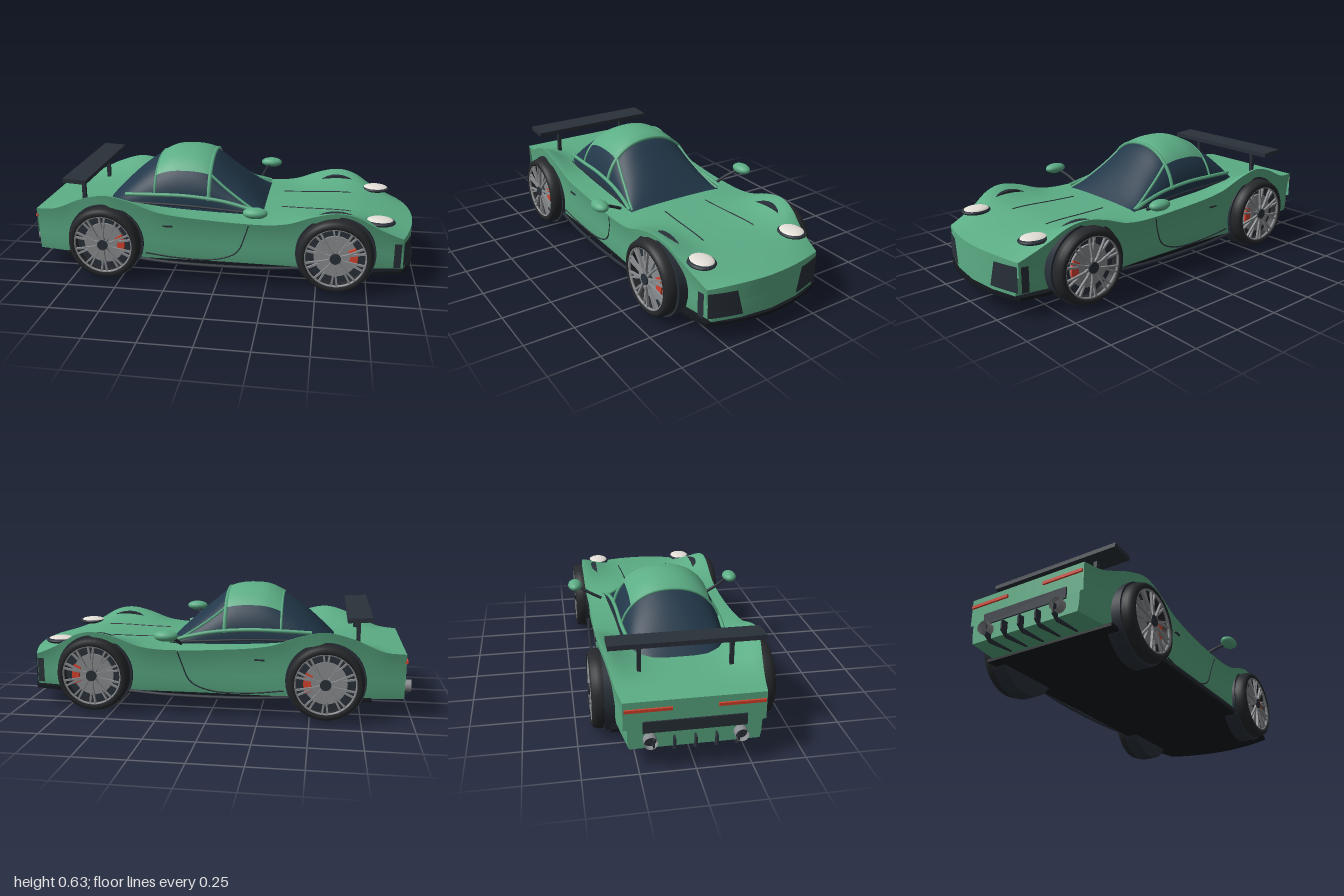
import * as THREE from 'three';
import { toCreasedNormals } from 'three/addons/utils/BufferGeometryUtils.js';

const mat = (color, side = THREE.FrontSide) =>
  new THREE.MeshStandardMaterial({ color, side });
const paint = mat(0x5cae86), glass = mat(0x22384a), dark = mat(0x2a313a), rubber = mat(0x26282b);
const floorMat = mat(0x14181d), metal = mat(0x8a8d90), red = mat(0xd8432f), lamp = mat(0xe4e0d8);
const darkThin = mat(0x2a313a, THREE.DoubleSide);

// Smooth interpolation through rows of [x, value]
function curve(rows) {
  const slope = i => {
    const a = rows[Math.max(i - 1, 0)], b = rows[Math.min(i + 1, rows.length - 1)];
    return (b[1] - a[1]) / (b[0] - a[0]);
  };
  return x => {
    let i = 0;
    while (i < rows.length - 2 && x > rows[i + 1][0]) i++;
    const [x0, y0] = rows[i], [x1, y1] = rows[i + 1], d = x1 - x0;
    const t = Math.min(Math.max((x - x0) / d, 0), 1), t2 = t * t, t3 = t2 * t;
    return y0 * (2 * t3 - 3 * t2 + 1) + slope(i) * d * (t3 - 2 * t2 + t)
      + y1 * (3 * t2 - 2 * t3) + slope(i + 1) * d * (t3 - t2);
  };
}

// Surface from a rule fn(i, j) -> [x, y, z]
function grid(nu, nv, fn, crease = 0.7) {
  const pos = [], idx = [];
  for (let i = 0; i <= nu; i++) for (let j = 0; j <= nv; j++) {
    pos.push(...fn(i, j));
    if (i < nu && j < nv) {
      const a = i * (nv + 1) + j, b = a + nv + 1;
      idx.push(a, b, a + 1, b, b + 1, a + 1);
    }
  }
  const g = new THREE.BufferGeometry();
  g.setAttribute('position', new THREE.Float32BufferAttribute(pos, 3));
  g.setIndex(idx);
  return toCreasedNormals(g, crease);
}

function add(parent, name, geo, material, x = 0, y = 0, z = 0) {
  const m = new THREE.Mesh(geo, material);
  m.name = name;
  m.position.set(x, y, z);
  parent.add(m);
  return m;
}
const box = (x, y, z) => new THREE.BoxGeometry(x, y, z);
const tube = (pts, r, n = 24) => new THREE.TubeGeometry(
  new THREE.CatmullRomCurve3(pts.map(p => new THREE.Vector3(...p))), n, r, 6);
const disc = (r, h, n = 40) => new THREE.CylinderGeometry(r, r, h, n).rotateX(Math.PI / 2);

// Body rules along x: half width, fender crest height, centre height
const halfWidth = curve([[-0.96, 0.315], [-0.75, 0.35], [-0.57, 0.38], [-0.4, 0.38], [0, 0.372], [0.4, 0.377],
  [0.58, 0.378], [0.72, 0.36], [0.85, 0.337], [0.98, 0.318]]);
const crest = curve([[-0.96, 0.325], [-0.85, 0.338], [-0.7, 0.403], [-0.57, 0.435], [-0.45, 0.412], [-0.3, 0.36],
  [-0.1, 0.335], [0.2, 0.322], [0.35, 0.335], [0.48, 0.38], [0.59, 0.402], [0.7, 0.383], [0.82, 0.33], [0.98, 0.265]]);
const centre = curve([[-0.96, 0.325], [-0.6, 0.342], [0, 0.335], [0.4, 0.335], [0.65, 0.335], [0.82, 0.312], [0.98, 0.276]]);
const bottom = 0.095;
const bow = (x, z) => x - 0.06 * THREE.MathUtils.smoothstep(x, 0.6, 0.98) * (z / 0.31) ** 2;
// Half section, bottom centre to top centre: [z share, height base, share]
const lower = [[0, 0], [0.5, 0], [0.92, 0], [0.94, 0.15], [0.945, 0.4], [0.96, 0.7], [0.985, 0.9], [1, 1]];
const upper = [[0.96, 0.97], [0.88, 0.8], [0.78, 0.56], [0.66, 0.3], [0.52, 0.11], [0.35, 0.02], [0.17, 0], [0, 0]];
function deckY(x, s) {
  const i = Math.max(upper.findIndex(p => p[0] <= s), 1), [a, fa] = upper[i - 1], [b, fb] = upper[i];
  const f = fa + (fb - fa) * (a - s) / (a - b);
  return centre(x) + (crest(x) - centre(x)) * f;
}
function section(x) {
  const w = halfWidth(x), half = [
    ...lower.map(([s, f]) => [s * w, bottom + (crest(x) - bottom) * f]),
    ...upper.map(([s]) => [s * w, deckY(x, s)])];
  return [...half, ...half.slice(0, -1).reverse().map(([z, y]) => [-z, y])];
}

function buildBody(g) {
  const n = 80, count = section(0).length - 1;
  // First and last rings close the tail and nose
  add(g, 'body', grid(n + 2, count, (i, j) => {
    const x = -0.96 + 1.94 * Math.min(Math.max((i - 1) / n, 0), 1);
    const [z, y] = section(x)[j];
    return [bow(x, z), i === 0 || i === n + 2 ? 0.19 : y, z];
  }), paint);

  // Floor with curved front splitter
  const s = new THREE.Shape();
  s.moveTo(-0.8, -0.35); s.lineTo(0.8, -0.35); s.lineTo(0.92, -0.325);
  s.quadraticCurveTo(1.07, 0, 0.92, 0.325); s.lineTo(0.8, 0.35); s.lineTo(-0.8, 0.35);
  add(g, 'floor', new THREE.ExtrudeGeometry(s, { depth: 0.016, bevelEnabled: false, curveSegments: 24 })
    .rotateX(Math.PI / 2), floorMat, 0, 0.1, 0);
}

// Cabin rule: arch section at x, angle a from left sill over to right sill
const cabinH = curve([[-0.62, 0.003], [-0.55, 0.075], [-0.45, 0.165], [-0.34, 0.24], [-0.27, 0.272], [-0.2, 0.28],
  [-0.12, 0.275], [-0.06, 0.255], [0.02, 0.19], [0.12, 0.105], [0.22, 0.012]]);
const cabinW = curve([[-0.62, 0.13], [-0.57, 0.2], [-0.48, 0.24], [-0.3, 0.25], [0, 0.255], [0.22, 0.27]]);
function cabin(x, a, off = 0) {
  const c = Math.cos(a), s = Math.max(Math.sin(a), 0);
  return [x, 0.333 + (cabinH(x) + off) * s ** 0.92, (cabinW(x) + off) * Math.sign(c) * Math.abs(c) ** 0.92];
}
const cabinPatch = (x0, x1, a0, a1, off) => grid(36, 32, (i, j) =>
  cabin(x0 + (x1 - x0) * i / 36, a0 + (a1 - a0) * j / 32, off), 1);

function buildCabin(g) {
  add(g, 'windows', cabinPatch(-0.62, 0.22, 0, Math.PI, 0), glass);
  const roofA = 0.72;
  add(g, 'roof', cabinPatch(-0.345, -0.06, roofA, Math.PI - roofA, 0.006), paint);
  const hoop = (x, a0) => Array.from({ length: 17 }, (_, k) => cabin(x, a0 + (Math.PI - 2 * a0) * k / 16, 0.003));
  add(g, 'windscreenHoop', tube(hoop(-0.06, 0.2), 0.01, 48), paint);
  add(g, 'rearHoop', tube(hoop(-0.345, 0.25), 0.006, 48), paint);
  for (const s of [1, -1]) {
    // Sill rail, windscreen edge and lower seal
    add(g, 'sillRail', tube([[-0.5, 0.4, 0.235 * s], [-0.35, 0.408, 0.247 * s], [-0.18, 0.41, 0.25 * s],
      [0, 0.395, 0.256 * s], [0.12, 0.372, 0.266 * s], [0.215, 0.348, 0.28 * s]], 0.01), paint);
    add(g, 'windscreenEdge', tube([-0.06, 0.02, 0.1, 0.16, 0.21].map((x, k) =>
      cabin(x, s > 0 ? 0.75 - 0.12 * k : Math.PI - 0.75 + 0.12 * k, 0.003)), 0.007), paint);
    add(g, 'windowSeal', tube([[-0.5, 0.36, 0.245 * s], [-0.2, 0.36, 0.254 * s], [0.2, 0.342, 0.272 * s]], 0.006), dark);
  }
}

function buildWheel(g, x, s) {
  const w = new THREE.Group();
  w.name = 'wheel';
  w.position.set(x, 0.188, 0.383 * s);
  if (s < 0) w.scale.z = -1;
  g.add(w);
  const tyre = [[0.148, -0.042], [0.165, -0.046], [0.179, -0.038], [0.186, -0.018], [0.187, 0],
    [0.186, 0.018], [0.179, 0.038], [0.165, 0.046], [0.148, 0.042], [0.148, -0.042]];
  add(w, 'tyre', new THREE.LatheGeometry(tyre.map(p => new THREE.Vector2(...p)), 56).rotateX(Math.PI / 2), rubber);
  add(w, 'wheelBack', disc(0.15, 0.03), dark, 0, 0, -0.02);
  add(w, 'brakeDisc', disc(0.105, 0.012), metal, 0, 0, 0.008);
  add(w, 'rimRing', new THREE.TorusGeometry(0.15, 0.007, 8, 56), metal, 0, 0, 0.036);
  add(w, 'hub', disc(0.027, 0.03, 20), dark, 0, 0, 0.034);
  // Brake caliper as a ring segment
  const c = new THREE.Shape();
  c.absarc(0, 0, 0.108, -0.5, 0.5); c.absarc(0, 0, 0.07, 0.5, -0.5, true);
  add(w, 'brakeCaliper', new THREE.ExtrudeGeometry(c, { depth: 0.012, bevelEnabled: false }), red, 0, 0, 0.014);
  // Paired spokes
  for (let k = 0; k < 10; k++) for (const d of [-0.1, 0.1]) {
    const a = (k + 0.5) * Math.PI / 5;
    const m = add(w, 'spoke', box(0.13, 0.009, 0.012), metal,
      0.085 * Math.cos(a + d * 0.6), 0.085 * Math.sin(a + d * 0.6), 0.036);
    m.rotation.z = a + d * 1.4;
  }
}

function buildSide(g, s) {
  for (const x of [-0.575, 0.59]) {
    add(g, 'wheelArch', disc(0.197, 0.08), dark, x, 0.188, 0.332 * s);
    buildWheel(g, x, s);
  }
  add(g, 'sideSkirt', tube([[-0.42, 0.1, 0.36 * s], [-0.2, 0.09, 0.372 * s], [0.2, 0.09, 0.372 * s], [0.43, 0.1, 0.36 * s]], 0.009), dark);

  // Mirror on a stalk
  add(g, 'mirrorStalk', tube([[0.155, 0.34, 0.3 * s], [0.165, 0.37, 0.36 * s], [0.19, 0.4, 0.42 * s]], 0.008), dark);
  add(g, 'mirror', new THREE.SphereGeometry(1, 24, 16).scale(0.06, 0.027, 0.038), paint, 0.2, 0.408, 0.44 * s);

  // Headlight in a dark surround
  const light = new THREE.SphereGeometry(1, 32, 16);
  add(g, 'headlightSurround', light.clone().scale(0.076, 0.018, 0.064), dark, 0.8, 0.332, 0.265 * s);
  add(g, 'headlight', light.clone().scale(0.066, 0.016, 0.055), lamp, 0.8, 0.338, 0.263 * s);

  // Nose intake follows the curved front
  add(g, 'noseIntake', grid(1, 8, (i, j) => {
    const z = (i ? 0.185 : 0.155) + (0.315 - (i ? 0.185 : 0.155)) * j / 8;
    return [bow(0.98, z) + 0.005, 0.12 + 0.125 * i, z * s];
  }), darkThin);
  add(g, 'cornerVent', grid(1, 1, (i, j) => [0.875 + 0.035 * j, 0.12 + 0.125 * i, (0.334 - 0.006 * j) * s]), darkThin);

  // Panel gaps in the bonnet and door
  const gap = Array.from({ length: 9 }, (_, k) => {
    const x = 0.3 + 0.045 * k, z = 0.125 + 0.003 * k;
    return [x, deckY(x, z / halfWidth(x)) + 0.001, z * s];
  });
  add(g, 'bonnetGap', tube(gap, 0.003), dark);
  add(g, 'doorGap', tube([[-0.37, 0.13, 0.358 * s], [-0.2, 0.11, 0.352 * s], [0, 0.115, 0.35 * s],
    [0.1, 0.16, 0.352 * s], [0.14, 0.25, 0.357 * s], [0.16, 0.315, 0.37 * s]], 0.0035), dark);
  add(g, 'doorHandle', box(0.05, 0.008, 0.01), dark, -0.25, 0.285, 0.365 * s);

  // Tail lamp, exhaust and wing stay
  add(g, 'tailLamp', box(0.014, 0.014, 0.21), red, -0.962, 0.285, 0.205 * s);
  add(g, 'exhaust', new THREE.CylinderGeometry(0.03, 0.03, 0.06, 20, 1, true).rotateZ(Math.PI / 2),
    mat(0x8a8d90, THREE.DoubleSide), -0.97, 0.14, 0.2 * s);
  add(g, 'exhaustCore', new THREE.CylinderGeometry(0.028, 0.028, 0.02, 20).rotateZ(Math.PI / 2), dark, -0.965, 0.14, 0.2 * s);
  add(g, 'wingStay', box(0.02, 0.16, 0.018), dark, -0.73, 0.41, 0.212 * s);
}

export function createModel() {
  const g = new THREE.Group();
  g.name = 'sportsCar';
  buildBody(g);
  buildCabin(g);
  for (const s of [1, -1]) buildSide(g, s);
  // Rear wing, tail panel and diffuser fins
  add(g, 'rearWing', box(0.12, 0.022, 0.71), dark, -0.73, 0.494, 0).rotation.z = -0.06;
  add(g, 'tailPanel', box(0.014, 0.055, 0.46), dark, -0.96, 0.2, 0);
  const fin = new THREE.Shape([[-0.995, 0.15], [-0.995, 0.1], [-0.96, 0.075], [-0.82, 0.09], [-0.82, 0.15]]
    .map(p => new THREE.Vector2(...p)));
  for (let k = -2; k <= 2; k++)
    add(g, 'diffuserFin', new THREE.ExtrudeGeometry(fin, { depth: 0.008, bevelEnabled: false }), dark, 0, 0, k * 0.093 - 0.004);
  return g;
}
